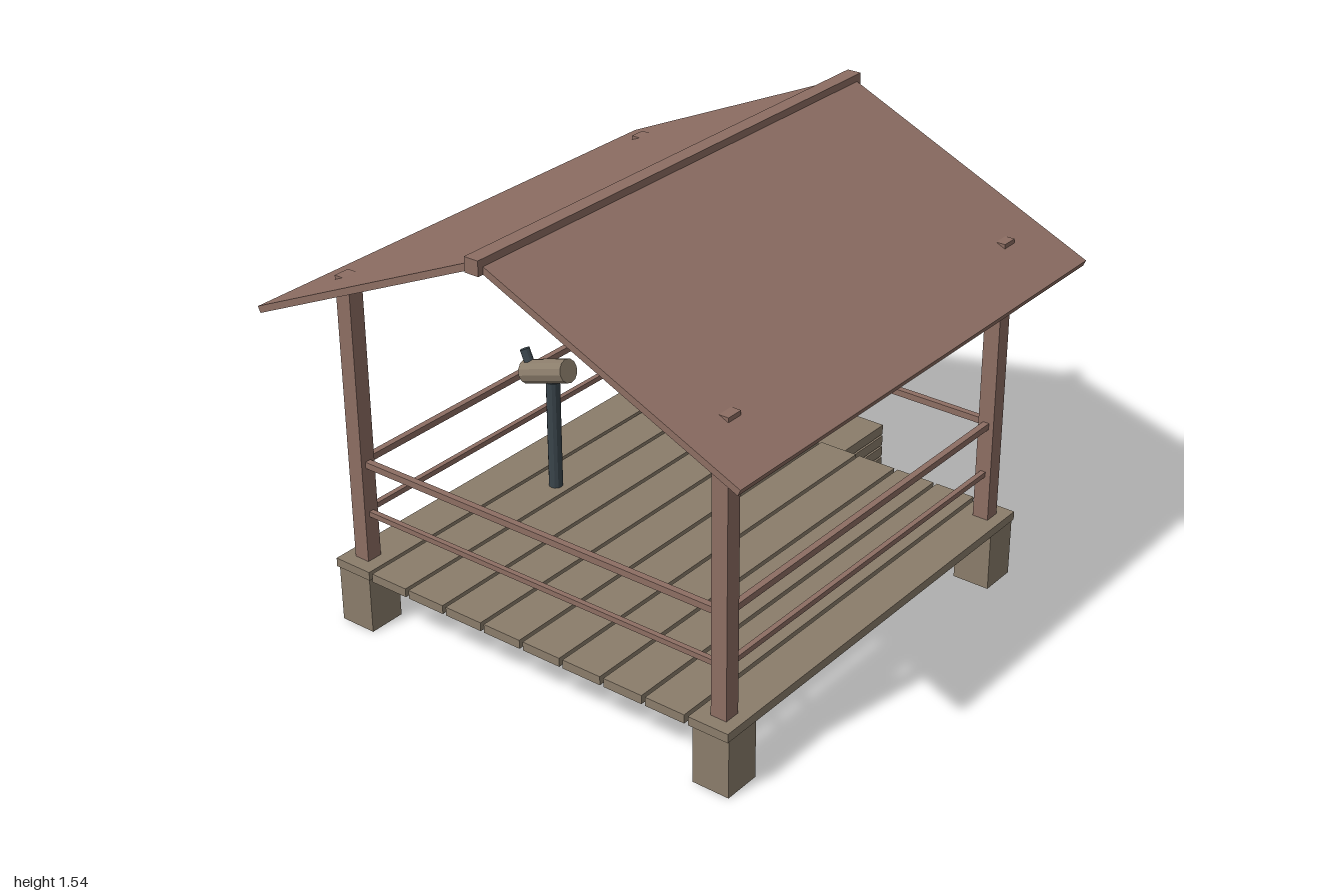
import * as THREE from 'three';

export function createModel() {
  const model = new THREE.Group();
  model.name = 'pavilion';

  const make = (name, color) => {
    const m = new THREE.MeshStandardMaterial({ color });
    m.name = name;
    return m;
  };
  const timber = make('red brown timber', 0x8d6e63);
  const plank = make('weathered plank', 0x8b7d6b);
  const metal = make('dark metal', 0x3a454c);

  const add = (name, geometry, material, x, y, z) => {
    const mesh = new THREE.Mesh(geometry, material);
    mesh.name = name;
    mesh.position.set(x, y, z);
    model.add(mesh);
    return mesh;
  };
  const box = (name, material, w, h, d, x, y, z) =>
    add(name, new THREE.BoxGeometry(w, h, d), material, x, y, z);
  // Flat-sided cylinder
  const rod = (name, material, r, length, x, y, z) =>
    add(name, new THREE.CylinderGeometry(r, r, length, 12).toNonIndexed(), material, x, y, z);

  const midX = -0.08;
  const halfX = 0.706;
  const postZ = 0.708;

  // Deck boards with narrow gaps
  for (let i = 0; i < 10; i++) {
    box('deckBoard', plank, 1.56, 0.03, 0.143, midX, 0.215, (i - 4.5) * 0.1565);
  }

  // Corner footings and posts; the posts just poke through the roof
  for (const sx of [-1, 1]) {
    for (const sz of [-1, 1]) {
      const x = midX + sx * halfX;
      box('footing', plank, 0.13, 0.2, 0.13, x, 0.1, sz * postZ);
      box('post', timber, 0.056, 0.983, 0.056, x, 0.7215, sz * postZ);
    }
  }

  // Rails on the front, back and closed side
  for (const y of [0.395, 0.572]) {
    const t = y > 0.5 ? 0.022 : 0.018;
    for (const sz of [-1, 1]) {
      box('longRail', timber, 1.37, t, t, midX, y, sz * postZ);
    }
    box('sideRail', timber, t, t, 1.37, midX - halfX, y, 0);
  }

  // Short top rails leave the entrance open
  for (const sz of [-1, 1]) {
    box('entranceRail', timber, 0.022, 0.022, 0.45, midX + halfX, 0.572, sz * 0.465);
  }

  // Stacked step boards at the entrance
  for (let i = 0; i < 4; i++) {
    box('stepBoard', plank, 0.335, 0.036, 0.124, 0.8325, 0.038 + i * 0.0435, 0);
  }

  // Sloping roof panels and ridge beam
  const run = 0.896, drop = 0.4;
  for (const sz of [-1, 1]) {
    const panel = box('roofPanel', timber, 1.8, 0.022, Math.hypot(run, drop),
      midX, 1.515 - drop / 2, sz * run / 2);
    panel.rotation.x = sz * Math.atan2(drop, run);
  }
  box('ridgeBeam', timber, 1.84, 0.048, 0.05, midX, 1.516, 0);

  // Viewing scope on a stand, aimed across the deck
  for (const m of [plank, metal]) m.flatShading = false;
  const standX = -0.082;
  rod('scopeStand', metal, 0.024, 0.41, standX, 0.415, -0.527);
  const tilt = 0.31;
  const tube = rod('scopeTube', plank, 0.041, 0.19, standX, 0.65, -0.549);
  tube.rotation.x = Math.PI / 2 - tilt;
  const eyepiece = rod('scopeEyepiece', metal, 0.017, 0.065, standX, 0.673, -0.633);
  eyepiece.rotation.x = -tilt - 0.1;

  // Faceted normals on the round parts
  for (const m of [plank, metal]) m.flatShading = true;
  return model;
}
